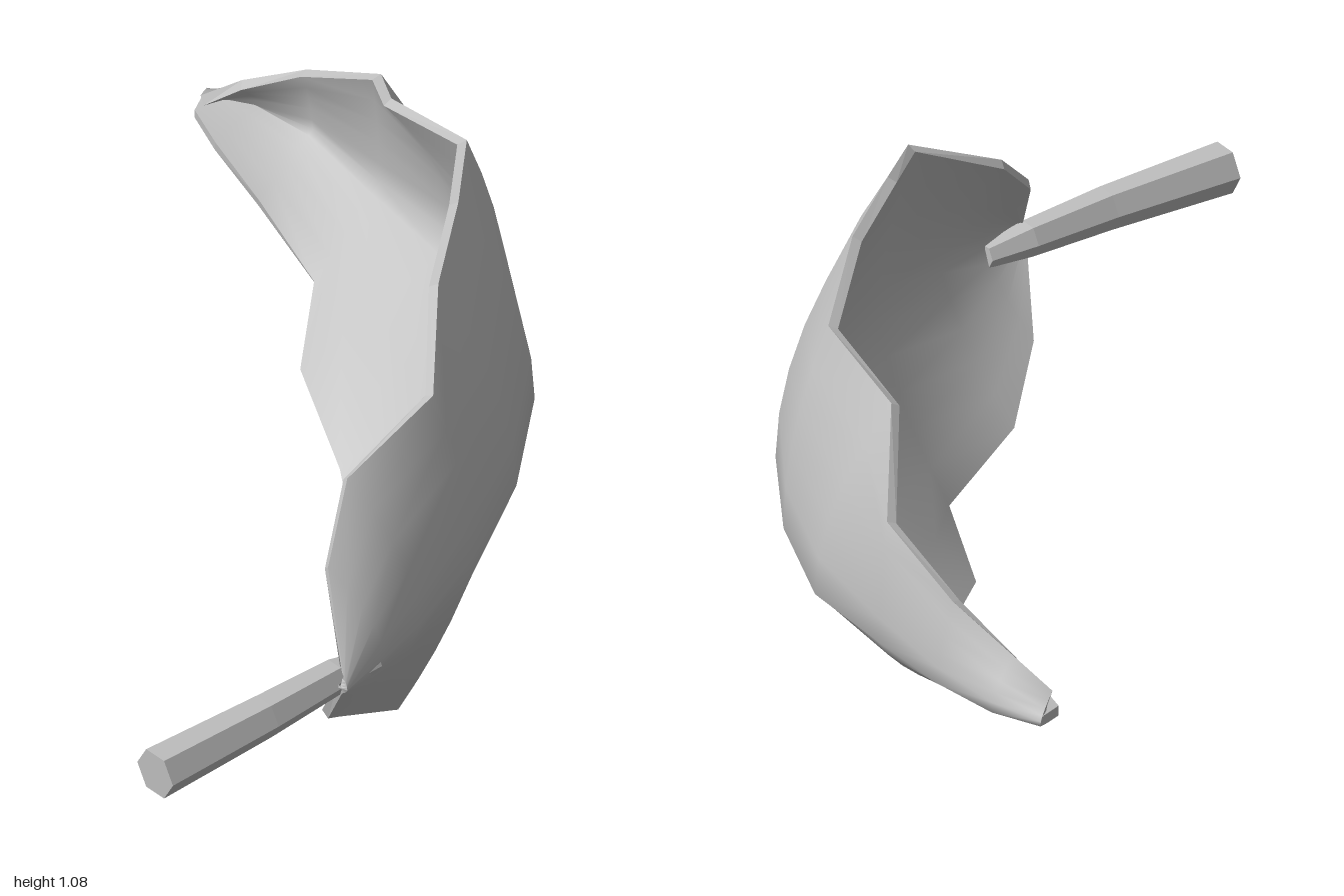
import * as THREE from 'three';
import { mergeVertices } from 'three/addons/utils/BufferGeometryUtils.js';

const THICKNESS = 0.025;
const ACROSS = 10; // divisions from lower to upper edge, with the midrib halfway

// Stations from base to tip: lower edge, midrib and upper edge, each x, y, z
const STATIONS = [
  [[-0.43, 0.47, 0.96], [-0.44, 0.50, 0.99], [-0.43, 0.53, 0.96]],
  [[-0.35, 0.28, 0.82], [-0.29, 0.50, 0.95], [-0.35, 0.72, 0.82]],
  [[-0.21, 0.15, 0.70], [-0.14, 0.50, 0.91], [-0.21, 0.86, 0.73]],
  [[0.02, 0.03, 0.65], [0.12, 0.50, 0.80], [0.05, 0.98, 0.74]],
  [[0.15, 0.00, 0.35], [0.39, 0.50, 0.65], [0.27, 1.07, 0.51]],
  [[0.34, 0.03, 0.17], [0.66, 0.49, 0.41], [0.51, 1.08, 0.31]],
  [[0.47, 0.11, -0.05], [0.84, 0.49, 0.12], [0.74, 1.02, 0.08]],
  [[0.54, 0.24, -0.27], [0.96, 0.49, -0.18], [0.77, 0.96, -0.22]],
  [[0.75, 0.29, -0.46], [0.97, 0.49, -0.46], [0.95, 0.81, -0.46]],
  [[0.76, 0.40, -0.68], [0.98, 0.50, -0.71], [0.93, 0.70, -0.70]],
  [[0.775, 0.46, -0.85], [0.945, 0.49, -0.88], [0.87, 0.61, -0.86]],
  [[0.81, 0.475, -0.96], [0.89, 0.49, -1.0], [0.82, 0.54, -0.95]],
];

// A point of the outer face: the section curls away from the midrib
function sectionPoint([lower, mid, upper], v) {
  const s = v * 2 - 1;
  const t = Math.abs(s);
  const edge = s < 0 ? lower : upper;
  const curl = Math.pow(t, s < 0 ? 1.35 : 1.9);
  return new THREE.Vector3(
    mid[0] + (edge[0] - mid[0]) * curl,
    mid[1] + (edge[1] - mid[1]) * t,
    mid[2] + (edge[2] - mid[2]) * curl,
  );
}

// Smooth sheet through a grid of points, rows by columns
function sheet(rows, flip) {
  const n = rows[0].length;
  const index = [];
  for (let i = 0; i < rows.length - 1; i++) {
    for (let j = 0; j < n - 1; j++) {
      const a = i * n + j, b = a + n, c = b + 1, d = a + 1;
      if (flip) index.push(a, c, b, a, d, c);
      else index.push(a, b, c, a, c, d);
    }
  }
  const geometry = new THREE.BufferGeometry().setFromPoints(rows.flat());
  geometry.setIndex(index);
  geometry.computeVertexNormals();
  return geometry;
}

// Flat-shaded strip joining two matching loops
function rimStrip(outer, inner) {
  const points = [];
  outer.forEach((a, i) => {
    const k = (i + 1) % outer.length;
    points.push(a, inner[i], outer[k], outer[k], inner[i], inner[k]);
  });
  const geometry = new THREE.BufferGeometry().setFromPoints(points);
  geometry.computeVertexNormals();
  return geometry;
}

// Border of a grid, in order round the edge
function border(rows) {
  const last = rows[0].length - 1;
  return [
    ...rows.map((r) => r[0]),
    ...rows[rows.length - 1].slice(1, last),
    ...rows.map((r) => r[last]).reverse(),
    ...rows[0].slice(1, last).reverse(),
  ];
}

// Six-sided stem running along x, through centres with a radius each
function stemGeometry() {
  const rings = [[-0.99, 0.495, 0.932, 0.063], [-0.65, 0.495, 0.932, 0.053],
    [-0.42, 0.492, 0.922, 0.044], [-0.3, 0.483, 0.925, 0.03]];
  const points = rings.map(([x, y, z, r]) => Array.from({ length: 6 }, (_, k) => {
    const a = (k * Math.PI) / 3;
    return new THREE.Vector3(x, y + r * Math.sin(a), z + r * Math.cos(a));
  }));
  const tri = [];
  for (let i = 0; i < rings.length - 1; i++) {
    for (let k = 0; k < 6; k++) {
      const m = (k + 1) % 6;
      const a = points[i][k], b = points[i + 1][k], c = points[i + 1][m], d = points[i][m];
      tri.push(a, b, c, a, c, d);
    }
  }
  // End caps
  const [first, end] = [points[0], points[rings.length - 1]];
  for (let k = 1; k < 5; k++) {
    tri.push(first[0], first[k], first[k + 1], end[0], end[k + 1], end[k]);
  }
  const geometry = new THREE.BufferGeometry().setFromPoints(tri);
  geometry.computeVertexNormals();
  return geometry;
}

export function createModel() {
  const grey = new THREE.MeshStandardMaterial({ color: 0xbfbfbf, side: THREE.DoubleSide });
  grey.name = 'leaf grey';

  const model = new THREE.Group();
  model.name = 'leaf';
  const add = (name, geometry) => {
    const mesh = new THREE.Mesh(geometry, grey);
    mesh.name = name;
    model.add(mesh);
  };

  // Outer face of the blade
  const outerRows = STATIONS.map((station) =>
    Array.from({ length: ACROSS + 1 }, (_, j) => sectionPoint(station, j / ACROSS)));
  const outer = sheet(outerRows, false);
  add('bladeOuterFace', outer);

  // Inner face, set back along the normals
  const normals = outer.attributes.normal;
  const innerRows = outerRows.map((row, i) => row.map((p, j) =>
    new THREE.Vector3().fromBufferAttribute(normals, i * (ACROSS + 1) + j)
      .multiplyScalar(-THICKNESS).add(p)));
  add('bladeInnerFace', mergeVertices(sheet(innerRows, true)));

  // Rim and stem
  add('bladeRim', rimStrip(border(outerRows), border(innerRows)));
  add('stem', stemGeometry());
  return model;
}
